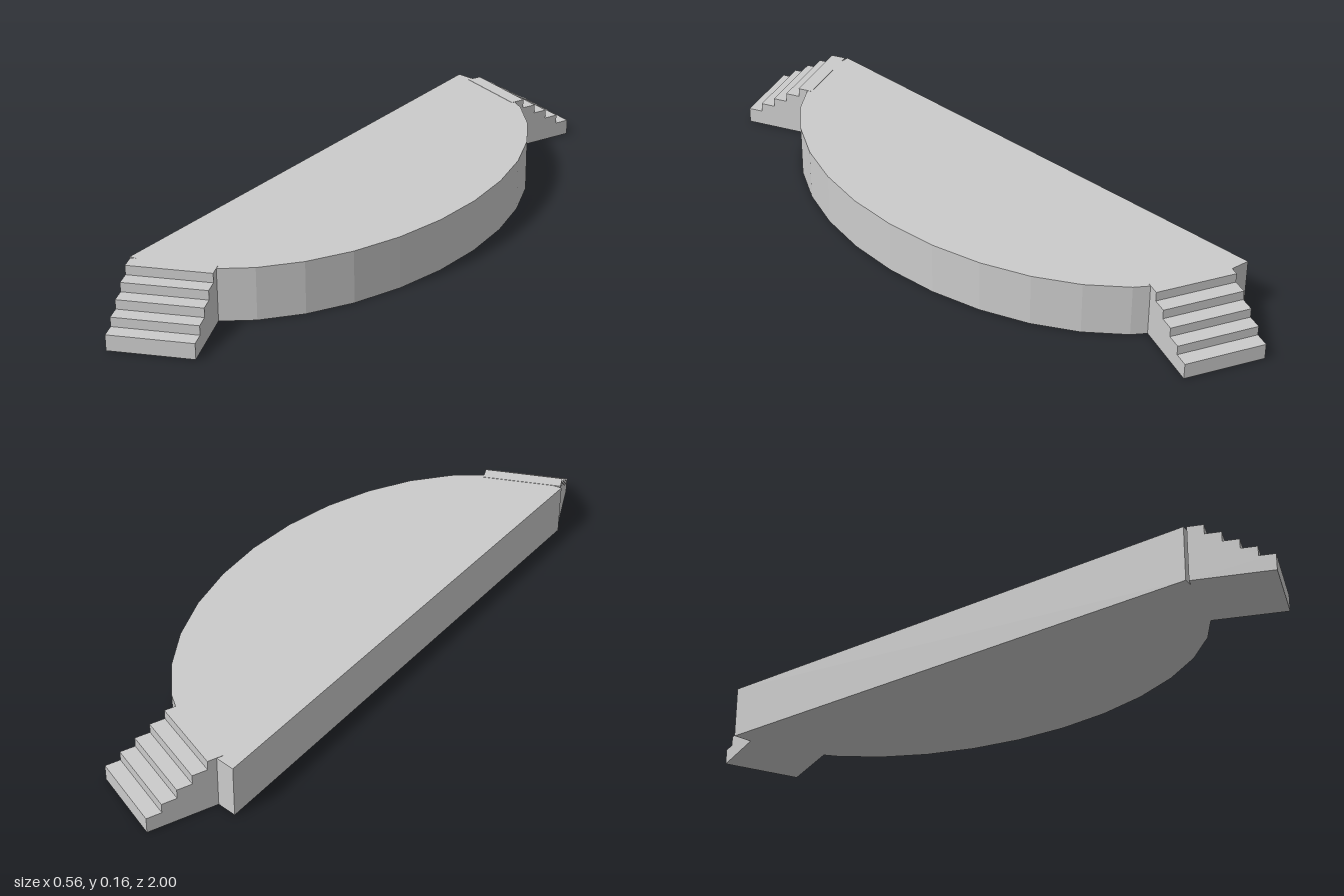
import * as THREE from 'three';

const material = new THREE.MeshStandardMaterial({ color: 0xcccccc, flatShading: true });

// Half-ellipse platform with a straight back edge along z
function makePlatform() {
  const shape = new THREE.Shape();
  const segments = 16;
  for (let i = 0; i <= segments; i++) {
    const a = -Math.PI / 2 + (i / segments) * Math.PI;
    const x = -0.28 + 0.56 * Math.cos(a);
    const y = 0.015 + 0.805 * Math.sin(a);
    if (i === 0) shape.moveTo(x, y);
    else shape.lineTo(x, y);
  }
  shape.closePath();
  const geometry = new THREE.ExtrudeGeometry(shape, { depth: 0.154, bevelEnabled: false });
  geometry.rotateX(-Math.PI / 2);
  const mesh = new THREE.Mesh(geometry, material);
  mesh.name = 'platform';
  return mesh;
}

// Solid five-step stair; the lowest riser lies at local z = 0 and faces +z
function makeStair(name, x, z, angle) {
  const steps = 5, run = 0.0445, rise = 0.02725, first = 0.046, width = 0.237;
  const profile = new THREE.Shape();
  profile.moveTo(-steps * run, 0);
  profile.lineTo(0, 0);
  for (let i = 0; i < steps; i++) {
    const top = first + i * rise;
    profile.lineTo(-i * run, top);
    profile.lineTo(-(i + 1) * run, top);
  }
  profile.closePath();
  const geometry = new THREE.ExtrudeGeometry(profile, { depth: width, bevelEnabled: false });
  geometry.translate(0, 0, -width / 2);
  geometry.rotateY(-Math.PI / 2);
  const mesh = new THREE.Mesh(geometry, material);
  mesh.name = name;
  mesh.position.set(x, 0, z);
  mesh.rotation.y = angle;
  return mesh;
}

export function createModel() {
  const group = new THREE.Group();
  group.name = 'stage';
  const tilt = THREE.MathUtils.degToRad(23);
  group.add(
    makePlatform(),
    makeStair('frontStair', -0.077, 0.9537, tilt),
    makeStair('backStair', -0.033, -0.9537, Math.PI - tilt)
  );
  return group;
}
